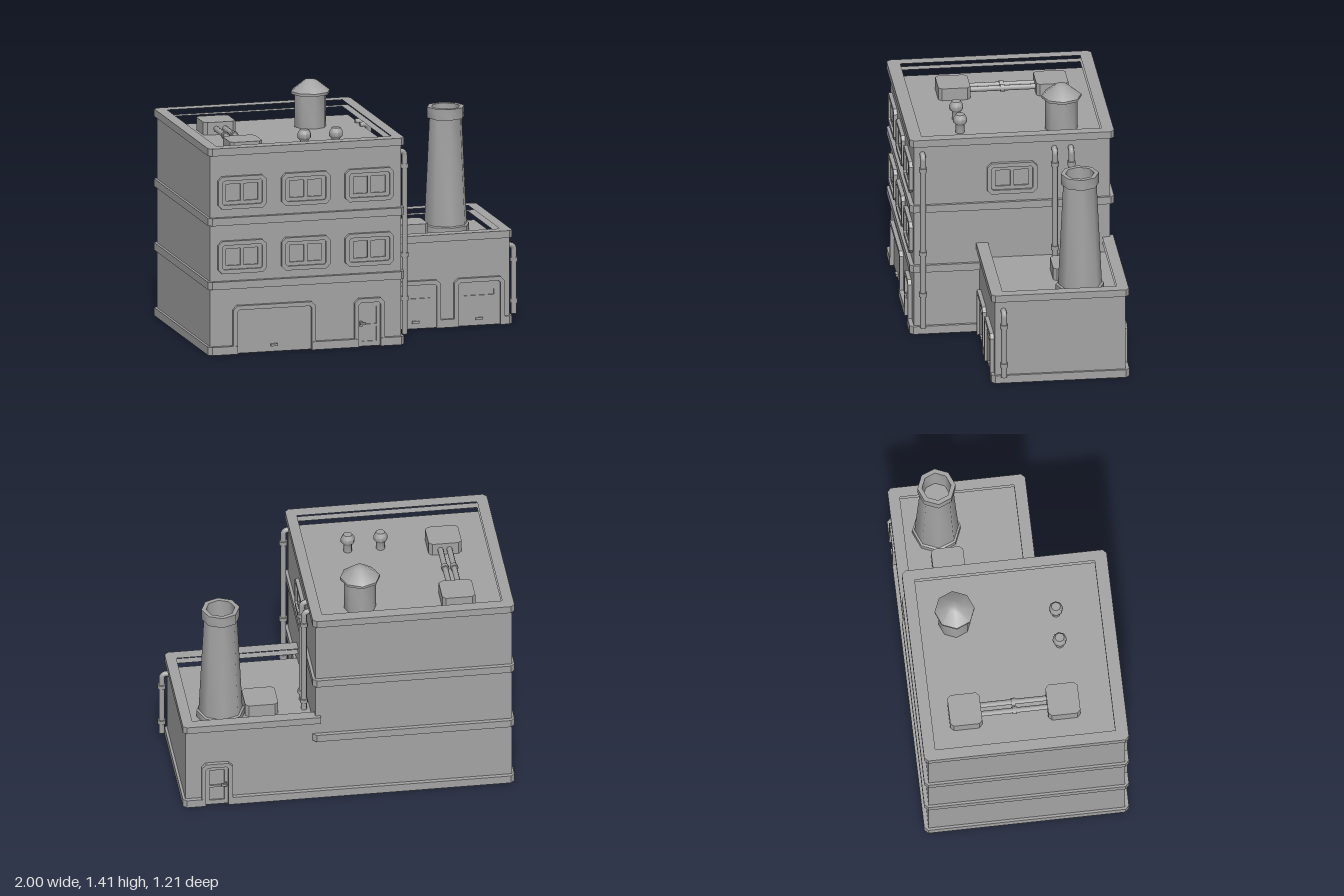
import * as THREE from 'three';
import { toCreasedNormals } from 'three/addons/utils/BufferGeometryUtils.js';

const grey = new THREE.MeshStandardMaterial({ color: 0xa3a3a3 });
grey.name = 'concrete grey';

function add(parent, name, geometry, x = 0, y = 0, z = 0) {
  const mesh = new THREE.Mesh(geometry, grey);
  mesh.name = name;
  mesh.position.set(x, y, z);
  parent.add(mesh);
}

const box = (w, h, d) => new THREE.BoxGeometry(w, h, d);
const polygon = (pts) => new THREE.Shape(pts.map(([x, y]) => new THREE.Vector2(x, y)));

// Rectangle corners with cut corners of size c
const rect = (x0, y0, x1, y1, c = 0) => c === 0
  ? [[x0, y0], [x1, y0], [x1, y1], [x0, y1]]
  : [[x0 + c, y0], [x1 - c, y0], [x1, y0 + c], [x1, y1 - c],
    [x1 - c, y1], [x0 + c, y1], [x0, y1 - c], [x0, y0 + c]];

function plate(outline, holes, depth) {
  const shape = polygon(outline);
  holes.forEach((h) => shape.holes.push(polygon(h)));
  return new THREE.ExtrudeGeometry(shape, { depth, bevelEnabled: false });
}

// Horizontal slab from an x,z outline
function slab(outline, holes, y0, y1) {
  const flip = (pts) => pts.map(([x, z]) => [x, -z]);
  return plate(flip(outline), holes.map(flip), y1 - y0).rotateX(-Math.PI / 2).translate(0, y0, 0);
}

// Eight-sided turned part, smooth around and sharp at the rims
const turned = (pts) => toCreasedNormals(
  new THREE.LatheGeometry(pts.map(([r, y]) => new THREE.Vector2(r, y)), 8), 0.85);

// Parts mounted on a wall: local +z points out of the wall
function mount(parent, name, x, y, z, turn = 0) {
  const g = new THREE.Group();
  g.name = name;
  g.position.set(x, y, z);
  g.rotation.y = turn;
  parent.add(g);
  return g;
}

function addWindow(parent, x, y, z, turn) {
  const g = mount(parent, 'window', x, y, z, turn);
  add(g, 'windowFrame', plate(rect(-0.147, -0.097, 0.147, 0.097, 0.025),
    [rect(-0.121, -0.072, 0.121, 0.072, 0.01)], 0.032), 0, 0, -0.01);
  add(g, 'windowSash', plate(rect(-0.125, -0.076, 0.125, 0.076),
    [rect(-0.097, -0.05, -0.01, 0.05), rect(0.01, -0.05, 0.097, 0.05)], 0.02), 0, 0, -0.01);
}

// Door surround, with an optional leaf that has recessed panels
function addDoor(parent, name, x, z, half, turn, panels) {
  const g = mount(parent, name, x, 0, z, turn);
  const o = half + 0.025, c = 0.025, k = 0.012;
  add(g, 'doorFrame', plate([[-o, 0], [-half, 0], [-half, 0.262 - k], [-half + k, 0.262], [half - k, 0.262],
    [half, 0.262 - k], [half, 0], [o, 0], [o, 0.287 - c], [o - c, 0.287], [-o + c, 0.287], [-o, 0.287 - c]],
  [], 0.033), 0, 0, -0.01);
  if (panels) add(g, 'doorLeaf', plate(rect(-half, 0.001, half, 0.262), panels, 0.008));
  return g;
}

function addGarage(parent, x, z, half, panels) {
  const g = addDoor(parent, 'garageDoor', x, z, half, 0, panels);
  add(g, 'garageHandle', box(0.042, 0.014, 0.016), 0, 0.041, 0.01);
}

// side is -1 or 1: the edge that carries the handle
function addPersonDoor(parent, x, z, turn, side) {
  const g = addDoor(parent, 'door', x, z, 0.066, turn,
    [rect(-0.043, 0.03, 0.043, 0.118), rect(-0.043, 0.132, 0.043, 0.236)]);
  add(g, 'handlePlate', box(0.016, 0.032, 0.012), side * 0.05, 0.136, 0.012);
  add(g, 'handleLever', box(0.036, 0.012, 0.012), side * 0.042, 0.138, 0.022);
}

// Downpipe with an elbow into the wall on its -x side
function addPipe(parent, x, z, y0, y1, clamps) {
  const g = mount(parent, 'downpipe', x, 0, z);
  const r = 0.017, bend = 0.025, len = y1 - bend - y0;
  add(g, 'pipe', new THREE.CylinderGeometry(r, r, len, 8), 0, y0 + len / 2, 0);
  add(g, 'elbow', new THREE.TorusGeometry(bend, r, 8, 4, Math.PI / 2), -bend, y1 - bend, 0);
  add(g, 'elbowStub', new THREE.CylinderGeometry(r, r, 0.03, 8).rotateZ(Math.PI / 2), -bend - 0.015, y1, 0);
  clamps.forEach((y) => add(g, 'clamp', new THREE.CylinderGeometry(0.024, 0.024, 0.026, 8), 0, y, 0));
}

const notch = (x0, x1, edge, inner) => [[x0, edge], [x0, inner], [x1, inner], [x1, edge]];

export function createModel() {
  const model = new THREE.Group();
  model.name = 'factory';
  const F = 0.575, AF = 0.19, S = 0.17;      // main front, annex front, main side wall
  const roof = 1.13, annexRoof = 0.46, c = 0.022;

  // Plinth around both blocks, cut away at the doors
  add(model, 'plinth', slab([
    [-1, -0.6 + c], [-1, 0.6 - c], [-1 + c, 0.6],
    ...notch(-0.825, -0.375, 0.6, F), ...notch(-0.091, 0.041, 0.6, F),
    [0.187 - c, 0.6], [0.187, 0.6 - c], [0.187, 0.21],
    ...notch(0.235, 0.489, 0.21, AF), ...notch(0.62, 0.874, 0.21, AF),
    [0.95 - c, 0.21], [0.95, 0.21 - c], [0.95, -0.6 + c], [0.95 - c, -0.6],
    ...notch(0.816, 0.684, -0.6, -F), [-1 + c, -0.6],
  ], [], 0, 0.048));

  // Main block with parapet and string courses
  const outline = rect(-1, -0.6, 0.187, 0.6, c);
  const walls = rect(-0.985, -F, S, F);
  const well = rect(-0.935, -0.53, 0.125, 0.525);
  add(model, 'mainWalls', slab(walls, [], 0.01, roof));
  add(model, 'mainParapet', slab(walls, [well], roof, 1.19));
  add(model, 'mainCoping', slab(outline, [well], 1.186, 1.23));
  for (const y of [0.39, 0.77]) add(model, 'stringCourse', slab(outline, [walls], y, y + 0.045));

  // Annex with its own parapet
  const annexWalls = rect(0.14, -F, 0.935, AF);
  const annexWell = rect(0.165, -0.53, 0.888, 0.14);
  add(model, 'annexWalls', slab(annexWalls, [], 0.01, annexRoof));
  add(model, 'annexParapet', slab(annexWalls, [annexWell], annexRoof, 0.52));
  add(model, 'annexCoping', slab([[0.14, -0.597], [0.95 - c, -0.597], [0.95, -0.6 + c],
    [0.95, 0.21 - c], [0.95 - c, 0.21], [0.14, 0.21]], [annexWell], 0.513, 0.556));

  // Windows and doors
  for (const x of [-0.795, -0.41, -0.025]) {
    for (const y of [0.578, 0.962]) addWindow(model, x, y, F, 0);
  }
  addWindow(model, S, 0.965, 0, Math.PI / 2);
  addGarage(model, -0.6, F, 0.225, null);
  for (const x of [0.362, 0.747]) addGarage(model, x, AF, 0.127, [rect(-0.09, 0.18, 0.09, 0.213)]);
  addPersonDoor(model, -0.025, F, 0, -1);
  addPersonDoor(model, 0.75, -F, Math.PI, 1);

  // Downpipes
  addPipe(model, 0.205, 0.525, 0.048, 1.137, [0.26, 0.52, 1.05]);
  for (const z of [-0.345, -0.248]) addPipe(model, 0.205, z, annexRoof, 1.137, [0.52, 1.05]);
  addPipe(model, 0.974, 0.14, 0.048, 0.455, [0.125, 0.37]);

  // Chimney
  add(model, 'chimney', turned([[0.142, annexRoof], [0.142, 0.5], [0.129, 0.505], [0.098, 1.135],
    [0.112, 1.135], [0.112, 1.2], [0.085, 1.2], [0.08, 1.04], [0, 1.04]]), 0.695, 0, -0.337);

  // Water tank
  add(model, 'waterTank', turned([[0.095, roof], [0.095, 1.327], [0.117, 1.327], [0.117, 1.342],
    [0.035, 1.407], [0, 1.414]]), -0.127, 0, -0.325);

  // Roof vents
  for (const x of [-0.33, -0.138]) {
    add(model, 'roofVent', turned([[0.026, roof], [0.026, 1.18], [0.041, 1.195], [0.041, 1.22],
      [0.027, 1.244], [0, 1.244]]), x, 0, 0.268);
  }

  // Air conditioning units and the pipes linking the roof pair
  for (const [x, y, z] of [[-0.697, roof, -0.33], [-0.697, roof, 0.245], [0.457, annexRoof, -0.293]]) {
    add(model, 'airUnit', slab(rect(-0.097, -0.094, 0.097, 0.094, 0.02), [], 0, 0.075), x, y, z);
  }
  for (const x of [-0.72, -0.667]) {
    add(model, 'unitPipe', new THREE.CylinderGeometry(0.017, 0.017, 0.42, 8).rotateX(Math.PI / 2), x, 1.165, -0.042);
    add(model, 'unitPipeClamp', new THREE.CylinderGeometry(0.024, 0.024, 0.026, 8).rotateX(Math.PI / 2), x, 1.165, -0.042);
  }
  return model;
}
